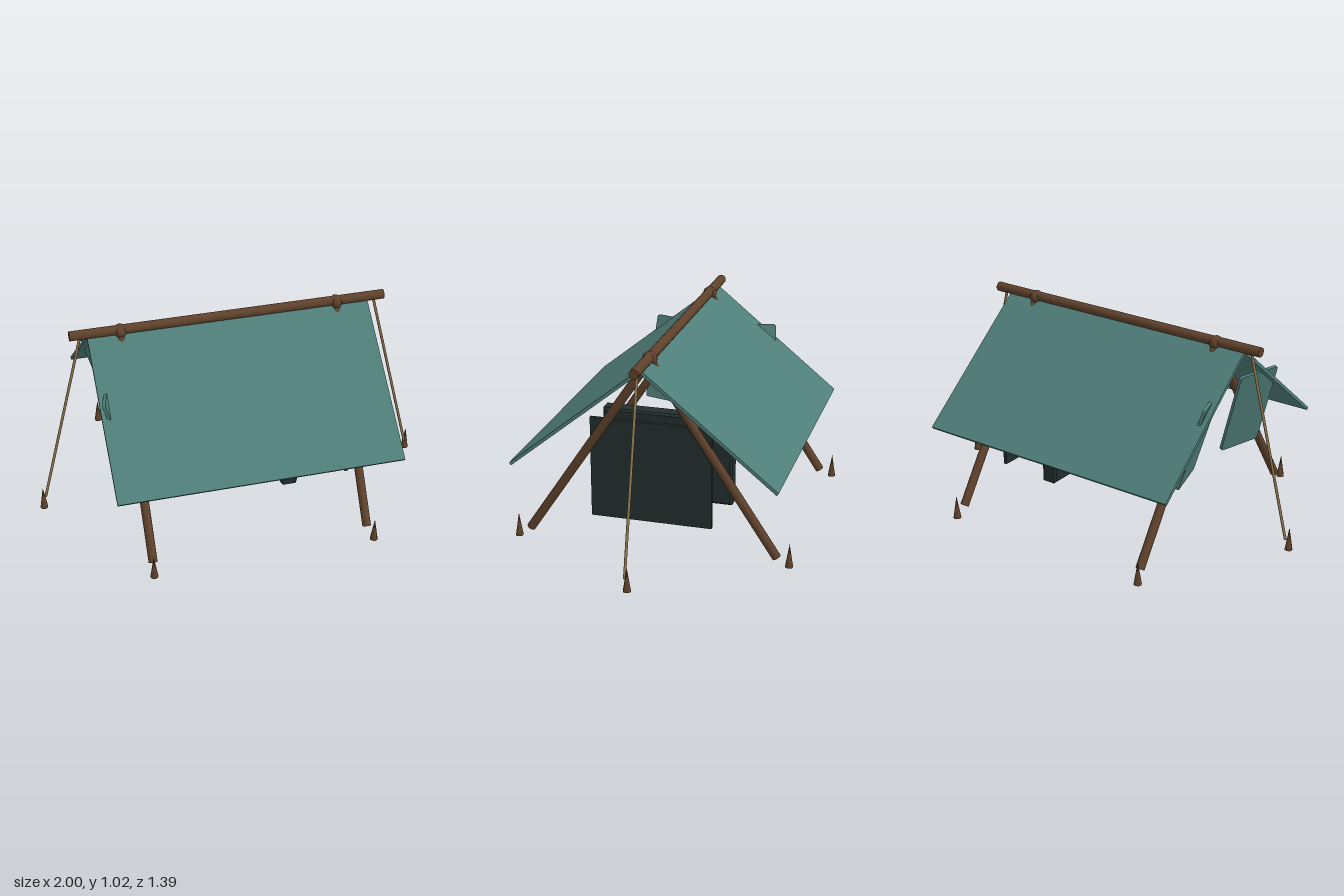
import * as THREE from 'three';

export function createModel() {
  const group = new THREE.Group();
  const material = (name, color) => {
    const m = new THREE.MeshStandardMaterial({ color });
    m.name = name;
    return m;
  };
  const canvas = material('teal canvas', 0x4f7d78);
  const dark = material('dark cloth', 0x232e2e);
  const wood = material('brown wood', 0x5e412b);
  const cord = material('tan cord', 0x927850);
  const V = (x, y, z) => new THREE.Vector3(x, y, z);

  const add = (name, geometry, mat) => {
    const mesh = new THREE.Mesh(geometry, mat);
    mesh.name = name;
    group.add(mesh);
    return mesh;
  };

  // Round bar between two points
  const bar = (name, a, b, radius, sides, mat) => {
    const mesh = add(name, new THREE.CylinderGeometry(radius, radius, a.distanceTo(b), sides), mat);
    mesh.position.copy(a).add(b).multiplyScalar(0.5);
    mesh.quaternion.setFromUnitVectors(V(0, 1, 0), b.clone().sub(a).normalize());
  };

  // Flat cloth panel with softened corners, centred on the origin
  const clothPanel = (w, h, depth, r) => {
    const s = new THREE.Shape();
    const x = w / 2, y = h / 2;
    s.moveTo(-x + r, -y);
    s.lineTo(x - r, -y).quadraticCurveTo(x, -y, x, -y + r);
    s.lineTo(x, y - r).quadraticCurveTo(x, y, x - r, y);
    s.lineTo(-x + r, y).quadraticCurveTo(-x, y, -x, y - r);
    s.lineTo(-x, -y + r).quadraticCurveTo(-x, -y, -x + r, -y);
    const g = new THREE.ExtrudeGeometry(s, { depth, bevelEnabled: false, curveSegments: 4 });
    return g.translate(0, 0, -depth / 2);
  };

  // Ridge pole with a lashing knot over each pair of legs
  bar('ridgePole', V(-0.79, 0.988, 0), V(0.79, 0.988, 0), 0.024, 16, wood);
  for (const x of [-0.543, 0.543]) {
    const knot = add('ridgeKnot', new THREE.SphereGeometry(0.036, 16, 10), wood);
    knot.position.set(x, 0.98, 0);
    knot.scale.x = 0.88;
    for (const s of [-1, 1]) bar('frameLeg', V(x, 0.975, 0), V(x, 0.042, s * 0.62), 0.022, 12, wood);
  }

  // Two sloping roof sheets
  const top = V(0, 0.972, 0), eave = V(0, 0.443, 0.65);
  for (const s of [-1, 1]) {
    const roof = add('roofSheet', new THREE.BoxGeometry(1.41, 0.016, top.distanceTo(eave)), canvas);
    roof.position.set(0, (top.y + eave.y) / 2, s * eave.z / 2);
    roof.rotation.x = s * Math.atan2(top.y - eave.y, eave.z);
  }

  // Entrance flaps, tied open and leaning outwards
  for (const s of [-1, 1]) {
    const outer = V(-0.57, 0.355, s * 0.36);
    const inner = V(-0.505, 0.355, s * 0.125);
    const up = V(-0.125, 0.435, s * -0.03);
    const u = inner.clone().sub(outer);
    const ux = u.clone().normalize();
    const uz = ux.clone().cross(up).normalize();
    const uy = uz.clone().cross(ux);
    const flap = add('entranceFlap', clothPanel(u.length(), up.length(), 0.016, 0.015), canvas);
    flap.quaternion.setFromRotationMatrix(new THREE.Matrix4().makeBasis(ux, uy, uz));
    flap.position.copy(outer).addScaledVector(u, 0.5).addScaledVector(up, 0.5);
  }

  // Closed end wall and the thicker hanging divider inside
  add('endWall', new THREE.BoxGeometry(0.018, 0.51, 0.6), dark).position.set(0.537, 0.405, 0);
  const rect = new THREE.Shape();
  rect.moveTo(-0.32, -0.215).lineTo(0.32, -0.215).lineTo(0.32, 0.215).lineTo(-0.32, 0.215);
  const divider = new THREE.ExtrudeGeometry(rect, {
    depth: 0.065, bevelThickness: 0.01, bevelSize: 0.01, bevelSegments: 1,
  }).translate(0, 0, -0.0325);
  const hung = add('innerDivider', divider, dark);
  hung.position.set(0.225, 0.375, 0);
  hung.rotation.y = Math.PI / 2;

  // Guy ropes at both ends
  for (const s of [-1, 1]) bar('guyRope', V(s * 0.74, 0.97, 0), V(s * 0.967, 0.055, 0), 0.007, 8, cord);

  // Ground pegs: four at the corners, two for the ropes
  const pegs = [[-0.573, -0.68], [0.54, -0.68], [-0.55, 0.675], [0.563, 0.675], [-0.98, 0.012], [0.978, -0.015]];
  for (const [x, z] of pegs) {
    add('groundPeg', new THREE.ConeGeometry(0.02, 0.12, 8), wood).position.set(x, 0.06, z);
  }

  return group;
}
